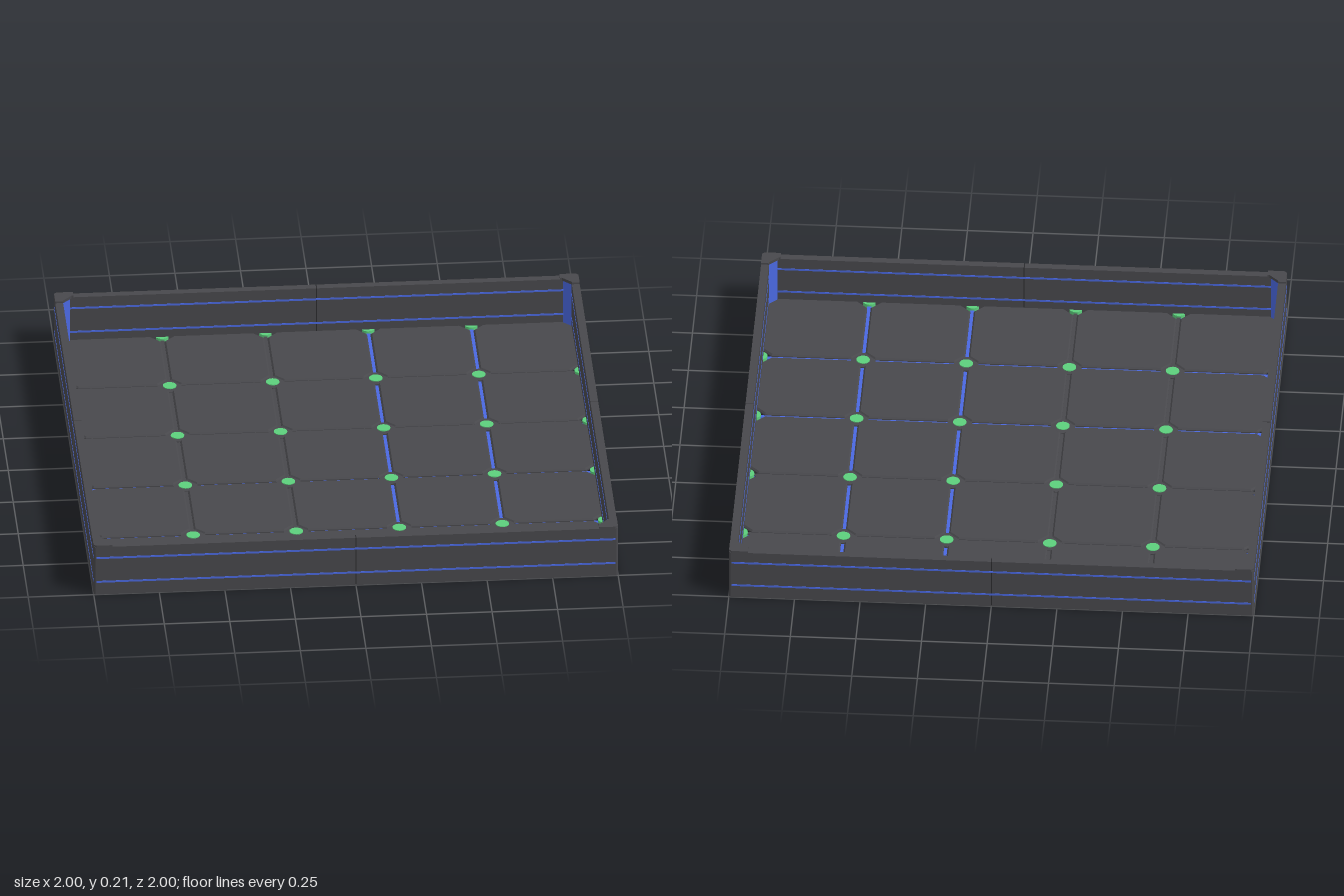
import * as THREE from 'three';

const charcoal = new THREE.MeshStandardMaterial({ name: 'charcoal', color: 0x48484c });
const seamBlack = new THREE.MeshStandardMaterial({ name: 'seamBlack', color: 0x2a2a2d });
const blue = new THREE.MeshStandardMaterial({ name: 'blue', color: 0x4a68e0 });
const green = new THREE.MeshStandardMaterial({ name: 'green', color: 0x5ccf7c });

const PITCH = 0.393;
const JOINTS = [-1.5, -0.5, 0.5, 1.5].map((n) => n * PITCH);
const CELLS = [-2, -1, 0, 1, 2].map((n) => n * PITCH);
const WALL_TOP = 0.205;

function add(parent, name, geometry, material, x = 0, y = 0, z = 0) {
  const mesh = new THREE.Mesh(geometry, material);
  mesh.name = name;
  mesh.position.set(x, y, z);
  parent.add(mesh);
  return mesh;
}

const box = (parent, name, material, w, h, d, x, y, z) =>
  add(parent, name, new THREE.BoxGeometry(w, h, d), material, x, y, z);

// Upright prism from an [x, z] outline
function prism(points, y0, y1) {
  const shape = new THREE.Shape(points.map(([x, z]) => new THREE.Vector2(x, -z)));
  const geometry = new THREE.ExtrudeGeometry(shape, { depth: y1 - y0, bevelEnabled: false });
  return geometry.rotateX(-Math.PI / 2).translate(0, y0, 0);
}

// Square floor tile with cut corners and bevelled rims
function tileGeometry() {
  const h = 0.184, c = 0.15, bevel = 0.006;
  const outline = [[h, -c], [h, c], [c, h], [-c, h], [-h, c], [-h, -c], [-c, -h], [c, -h]];
  const shape = new THREE.Shape(outline.map(([x, y]) => new THREE.Vector2(x, y)));
  const geometry = new THREE.ExtrudeGeometry(shape, {
    depth: 0.006, bevelThickness: bevel, bevelSize: bevel, bevelSegments: 1,
  });
  return geometry.rotateX(-Math.PI / 2).translate(0, 0.002 + bevel, 0);
}

function buildFloor() {
  const floor = new THREE.Group();
  floor.name = 'floor';
  const tile = tileGeometry();
  for (const x of CELLS) for (const z of CELLS) add(floor, 'floorTile', tile, charcoal, x, 0, z);

  // Joint strips; half of them carry a dark cover
  for (const p of JOINTS) {
    box(floor, 'jointStripAcross', blue, 1.94, 0.005, 0.016, 0, 0.0075, p);
    box(floor, 'jointStripAlong', blue, 0.016, 0.005, 1.94, p, 0.0075, 0);
    if (p < 0) {
      box(floor, 'jointCoverAcross', charcoal, 1.94, 0.002, 0.016, 0, 0.011, p);
      box(floor, 'jointCoverAlong', charcoal, 0.016, 0.002, 1.94, p, 0.011, 0);
    }
  }

  // Octagonal collars with green studs at the crossings
  const collar = new THREE.CylinderGeometry(0.05, 0.05, 0.012, 8).rotateY(Math.PI / 8);
  const stud = new THREE.CylinderGeometry(0.026, 0.026, 0.017, 16);
  for (const x of JOINTS) for (const z of JOINTS) {
    add(floor, 'studCollar', collar, charcoal, x, 0.009, z);
    add(floor, 'stud', stud, green, x, 0.0095, z);
  }
  return floor;
}

// One wall, facing +z, made of two halves
function buildWall() {
  const wall = new THREE.Group();
  wall.name = 'wall';
  for (const s of [-1, 1]) {
    box(wall, 'wallHalf', charcoal, 0.983, WALL_TOP, 0.03, s * 0.4935, WALL_TOP / 2, 0.985);
  }
  box(wall, 'wallSeam', seamBlack, 0.004, WALL_TOP - 0.004, 0.024, 0, WALL_TOP / 2, 0.985);

  // Light lines on both faces
  for (const y of [0.055, 0.158]) {
    box(wall, 'outerStripe', blue, 1.98, 0.008, 0.002, 0, y, 1);
    box(wall, 'innerStripe', blue, 1.9, 0.008, 0.002, 0, y, 0.97);
  }

  // Skirting between the half studs
  for (const x of CELLS) box(wall, 'skirting', charcoal, 0.29, 0.005, 0.022, x, 0.016, 0.962);
  const halfStud = new THREE.CylinderGeometry(0.026, 0.026, 0.017, 12, 1, false, Math.PI / 2, Math.PI);
  for (const x of JOINTS) add(wall, 'halfStud', halfStud, green, x, 0.0105, 0.98);
  return wall;
}

// Corner post, blue inner face and raised cap at +x +z
function buildCorner() {
  const corner = new THREE.Group();
  corner.name = 'corner';
  add(corner, 'cornerPost',
    prism([[0.985, 0.985], [0.985, 1], [0.994, 1], [1, 0.994], [1, 0.985]], 0, WALL_TOP), charcoal);
  add(corner, 'cornerLight', prism([[0.975, 0.94], [0.97, 0.94], [0.94, 0.97], [0.94, 0.975], [0.975, 0.975]], 0.012, 0.203), blue);
  add(corner, 'cornerCap', prism([
    [1, 0.928], [0.97, 0.928], [0.97, 0.935], [0.935, 0.97], [0.928, 0.97],
    [0.928, 1], [0.99, 1], [1, 0.99],
  ], 0.2, 0.212), charcoal);
  return corner;
}

export function createModel() {
  const model = new THREE.Group();
  model.name = 'tray';
  model.add(buildFloor());
  for (let i = 0; i < 4; i++) {
    const side = new THREE.Group();
    side.name = 'traySide';
    side.add(buildWall(), buildCorner());
    side.rotation.y = (i * Math.PI) / 2;
    model.add(side);
  }
  return model;
}
